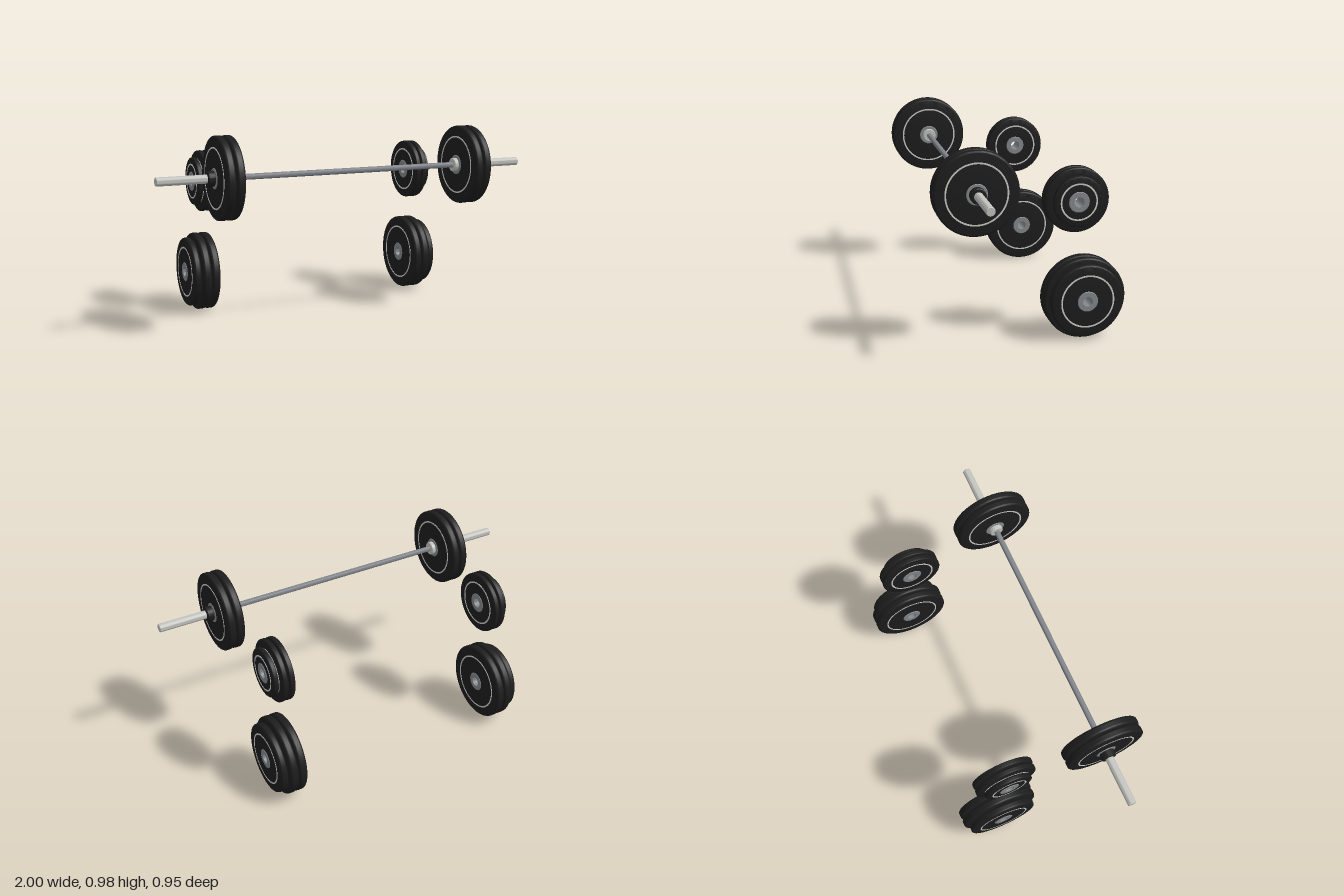
import * as THREE from 'three';
import { toCreasedNormals } from 'three/addons/utils/BufferGeometryUtils.js';

const mat = (name, color) => new THREE.MeshStandardMaterial({ name, color });

export function createModel() {
  const rubber = mat('black rubber', 0x1d1d1e);
  const white = mat('pale ring paint', 0xcbcbc8);
  const hubSteel = mat('hub steel', 0x85898c);
  const barSteel = mat('bar steel', 0x80848a);
  const chrome = mat('sleeve chrome', 0xc2c2be);

  const root = new THREE.Group();
  root.name = 'barbellSet';

  // Spins a closed [radius, x] profile around the x axis
  function turned(name, profile, material, parent, segments = 72) {
    const pts = [...profile, profile[0]].map(([r, x]) => new THREE.Vector2(r, x));
    const g = toCreasedNormals(new THREE.LatheGeometry(pts, segments), 0.6);
    g.rotateZ(-Math.PI / 2);
    const m = new THREE.Mesh(g, material);
    m.name = name;
    parent.add(m);
    return m;
  }

  // Tube or ring with bevelled outer edges
  const ringProfile = (r0, r1, x0, x1, b = 0) => [
    [r0, x0], [r1 - b, x0], [r1, x0 + b], [r1, x1 - b], [r1 - b, x1], [r0, x1],
  ];

  // Weight plate: rounded rubber disc, painted ring on both faces, steel hub
  function plate(parent, name, x, radius, width) {
    const g = new THREE.Group();
    g.name = name;
    g.position.x = x;
    parent.add(g);
    const h = width / 2, c = width * 0.28, lift = 0.002;
    const ringR = radius * 0.738;
    const half = [[0.05, h + lift], [ringR, h + lift], [ringR + 0.012, h]];
    for (let i = 0; i <= 5; i++) {
      const a = Math.PI / 2 * (1 - i / 5);
      half.push([radius - c + c * Math.cos(a), h - c + c * Math.sin(a)]);
    }
    const bottom = half.map(([r, y]) => [r, -y]);
    turned('rubberDisc', [...bottom, ...half.reverse()], rubber, g);
    turned('hub', ringProfile(0.0245, 0.052, -h - 0.005, h + 0.005, 0.004), hubSteel, g);
    for (const s of [-1, 1]) {
      const y = s * (h + lift);
      turned('paintedRing', ringProfile(ringR - 0.008, ringR, y - 0.001, y + 0.001), white, g);
    }
  }

  // Stack of plates: [centre x, radius, width]
  function stack(name, side, y, z, plates) {
    const g = new THREE.Group();
    g.name = name;
    g.position.set(0, y, z);
    root.add(g);
    plates.forEach(([x, r, w], i) => plate(g, 'plate' + (i + 1), side * x, r, w));
    return g;
  }

  const barY = 0.773, barZ = 0.272;
  for (const [label, s] of [['left', 1], ['right', -1]]) {
    // Loaded plates, sleeve, inner flange and outer clamp
    const end = stack(label + 'BarbellEnd', s, barY, barZ,
      [[0.644, 0.204, 0.042], [0.691, 0.204, 0.041]]);
    const span = (a, b) => [Math.min(s * a, s * b), Math.max(s * a, s * b)];
    turned('sleeve', ringProfile(0, 0.0215, ...span(0.6, 1), 0.003), chrome, end, 40);
    turned('innerFlange', ringProfile(0.01, 0.035, ...span(0.596, 0.622), 0.003), chrome, end, 40);
    turned('clamp', ringProfile(0.021, 0.038, ...span(0.714, 0.751), 0.004), rubber, end, 40);

    // Spare plates behind the bar
    stack(label + 'LargeSpares', s, 0.205, -0.27,
      [[0.597, 0.204, 0.042], [0.645, 0.204, 0.042], [0.69, 0.181, 0.036]]);
    stack(label + 'SmallSpares', s, 0.695, -0.227,
      [[0.592, 0.159, 0.028], [0.628, 0.159, 0.028], [0.661, 0.124, 0.025]]);
  }

  // Grip bar
  const bar = turned('gripBar', ringProfile(0, 0.0145, -0.61, 0.61), barSteel, root, 40);
  bar.position.set(0, barY, barZ);

  return root;
}
